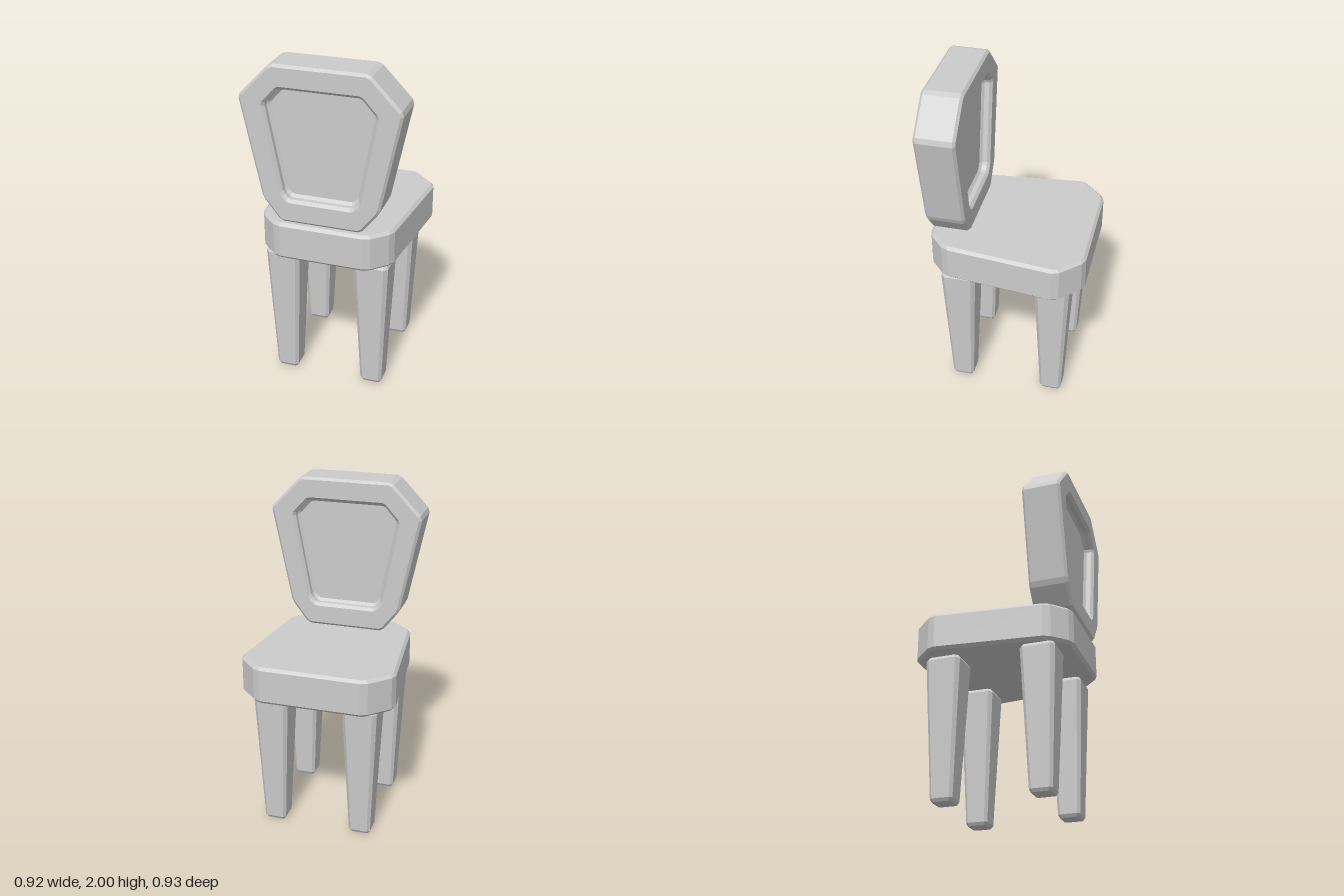
import * as THREE from 'three';

const material = new THREE.MeshStandardMaterial({ color: 0xcccccc, flatShading: true });

// Right half of an outline, bottom to top, completed by its mirror image (counter-clockwise)
const mirrored = (half) => {
  const right = half.map(([x, y]) => new THREE.Vector2(x, y));
  return [...right, ...right.map((p) => new THREE.Vector2(-p.x, p.y)).reverse()];
};

// Move every edge of a convex outline inward by d
function inset(points, d) {
  const n = points.length;
  return points.map((p, i) => {
    const a = p.clone().sub(points[(i + n - 1) % n]).normalize();
    const b = points[(i + 1) % n].clone().sub(p).normalize();
    const na = new THREE.Vector2(-a.y, a.x);
    const nb = new THREE.Vector2(-b.y, b.x);
    const k = d / (1 + na.dot(nb));
    return p.clone().add(na.add(nb).multiplyScalar(k));
  });
}

// Replace every corner with a short edge
function chamfer(points, d) {
  const n = points.length;
  return points.flatMap((p, i) => [points[(i + n - 1) % n], points[(i + 1) % n]].map((q) =>
    p.clone().add(q.clone().sub(p).setLength(d))));
}

// Skin a stack of [outline, height] rings along +z and close both ends
function loft(name, rings) {
  const n = rings[0][0].length;
  const positions = rings.flatMap(([outline, h]) => outline.flatMap((p) => [p.x, p.y, h]));
  const index = [];
  for (let r = 0; r < rings.length - 1; r++) {
    for (let i = 0; i < n; i++) {
      const a = r * n + i, b = r * n + (i + 1) % n;
      index.push(a, b, b + n, a, b + n, a + n);
    }
  }
  const last = (rings.length - 1) * n;
  for (let i = 1; i < n - 1; i++) {
    index.push(0, i + 1, i, last, last + i, last + i + 1);
  }
  const indexed = new THREE.BufferGeometry();
  indexed.setAttribute('position', new THREE.Float32BufferAttribute(positions, 3));
  indexed.setIndex(index);
  const geometry = indexed.toNonIndexed();
  geometry.computeVertexNormals();
  const mesh = new THREE.Mesh(geometry, material);
  mesh.name = name;
  return mesh;
}

// Seat: tapered slab with cut corners and bevelled edges
function createSeat() {
  const outline = mirrored([[0.27, -0.465], [0.392, -0.35], [0.464, 0.32], [0.32, 0.465]]);
  const side = chamfer(outline, 0.025);
  const edge = chamfer(inset(outline, 0.017), 0.015);
  const seat = loft('seat', [[edge, 0.84], [side, 0.857], [side, 1.048], [edge, 1.065]]);
  seat.geometry.rotateX(-Math.PI / 2);
  return seat;
}

// Backrest: bevelled shield with a recessed panel on both faces
function createBackrest() {
  const outline = mirrored([[0.235, 1.08], [0.34, 1.215], [0.463, 1.805], [0.275, 2]]);
  const recess = mirrored([[0.19, 1.203], [0.233, 1.25], [0.332, 1.775], [0.236, 1.88]]);
  const side = chamfer(outline, 0.018);
  const edge = chamfer(inset(outline, 0.015), 0.012);
  const rim = chamfer(recess, 0.012);
  const wall = chamfer(inset(recess, 0.017), 0.01);
  const floor = chamfer(inset(recess, 0.033), 0.008);
  const face = [[floor, 0.06], [wall, 0.045], [wall, 0.017], [rim, 0], [edge, 0], [side, 0.015]];
  const back = 0.23, front = 0.463;
  return loft('backrest', [
    ...face.map(([o, d]) => [o, back + d]),
    ...face.map(([o, d]) => [o, front - d]).reverse(),
  ]);
}

// Leg: square taper with chamfered edges
function createLeg(name, x, z) {
  const square = (half, cut) => chamfer(mirrored([[half, -half], [half, half]]), cut);
  const leg = loft(name, [
    [square(0.055, 0.01), 0],
    [square(0.066, 0.016), 0.018],
    [square(0.103, 0.022), 0.82],
    [square(0.09, 0.016), 0.842],
  ]);
  leg.geometry.rotateX(-Math.PI / 2);
  leg.position.set(x, 0, z);
  return leg;
}

export function createModel() {
  const chair = new THREE.Group();
  chair.name = 'chair';
  chair.add(createSeat(), createBackrest());
  for (const [sideName, x] of [['Left', 0.267], ['Right', -0.267]]) {
    chair.add(createLeg('front' + sideName + 'Leg', x, 0.281));
    chair.add(createLeg('back' + sideName + 'Leg', x, -0.281));
  }
  return chair;
}
